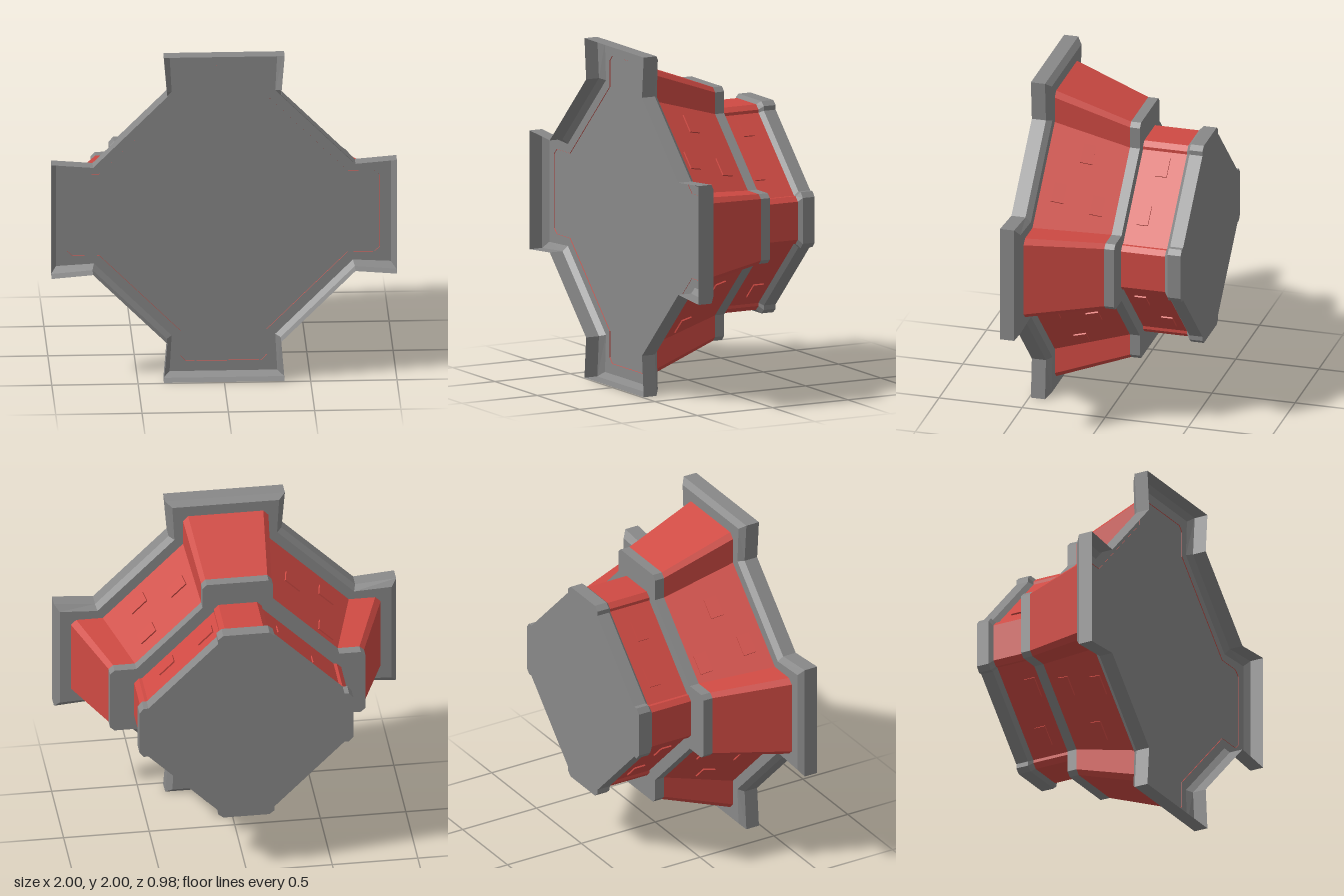
import * as THREE from 'three';

// Cross-shaped outline, anticlockwise: one arm as half of its points, mirrored and turned four times
function cross(half) {
  const arm = [...half.map(([r, w]) => [r, -w]), ...[...half].reverse()];
  const pts = [];
  for (let k = 0; k < 4; k++) {
    const c = [1, 0, -1, 0][k], s = [0, 1, 0, -1][k];
    for (const [x, y] of arm) pts.push(new THREE.Vector2(c * x - s * y, s * x + c * y));
  }
  return pts;
}
const scaled = (pts, f) => pts.map((p) => p.clone().multiplyScalar(f));

// Flat-faced walls through a series of [outline, z] sections, front to back
function walls(sections) {
  const pos = [];
  for (let s = 0; s + 1 < sections.length; s++) {
    const [front, zf] = sections[s], [back, zb] = sections[s + 1];
    for (let i = 0; i < front.length; i++) {
      const j = (i + 1) % front.length;
      const fi = [front[i].x, front[i].y, zf], fj = [front[j].x, front[j].y, zf];
      const bi = [back[i].x, back[i].y, zb], bj = [back[j].x, back[j].y, zb];
      pos.push(...bi, ...bj, ...fj, ...bi, ...fj, ...fi);
    }
  }
  const geo = new THREE.BufferGeometry();
  geo.setAttribute('position', new THREE.Float32BufferAttribute(pos, 3));
  geo.computeVertexNormals();
  return geo;
}

export function createModel() {
  const model = new THREE.Group();
  model.name = 'crossShapedHull';
  const grey = new THREE.MeshStandardMaterial({ color: 0x888888, side: THREE.DoubleSide });
  grey.name = 'grey metal';
  const red = new THREE.MeshStandardMaterial({ color: 0xcf4a43, side: THREE.DoubleSide });
  red.name = 'red paint';

  const body = new THREE.Group();
  body.name = 'hull';
  body.position.y = 1;
  model.add(body);
  const add = (name, geo, mat) => {
    const mesh = new THREE.Mesh(geo, mat);
    mesh.name = name;
    body.add(mesh);
    return mesh;
  };
  const plate = (name, pts, z) => {
    add(name, new THREE.ShapeGeometry(new THREE.Shape(pts)), grey).position.z = z;
  };

  // Outlines
  const rimOuter = cross([[0.76, 0.33], [1, 0.35]]);
  const rimInner = cross([[0.75, 0.3], [0.97, 0.312]]);
  const skirt = cross([[0.72, 0.25], [0.875, 0.25], [0.907, 0.22]]);
  const collar = scaled(skirt, 0.823);
  const neck = cross([[0.56, 0.14], [0.578, 0.14], [0.605, 0.112]]);
  const cap = cross([[0.573, 0.165], [0.6, 0.165], [0.625, 0.135]]);

  // Open front rim with its recessed floor
  add('frontRim', walls([[rimOuter, 0.49], [rimOuter, 0.405], [rimInner, 0.375]]), grey);
  plate('rimFloor', rimInner, 0.375);

  // Tapered lower hull, collar, straight upper hull and end cap
  add('lowerHull', walls([[skirt, 0.379], [collar, -0.065]]), red);
  add('collar', walls([[collar, -0.065], [collar, -0.125]]), grey);
  plate('collarBack', collar, -0.125);
  add('upperHull', walls([[neck, -0.125], [neck, -0.395]]), red);
  add('endCap', walls([[neck, -0.39], [cap, -0.412], [cap, -0.49]]), grey);
  plate('endCapBack', cap, -0.49);

  // Raised panels on the four diagonal faces: [offset along the face, z]
  const panels = [
    { angle: 45, lower: [[0.18, 0.155], [-0.09, 0.27], [-0.12, 0.045]], upper: [[0.2, -0.265], [-0.11, -0.215]] },
    { angle: 135, lower: [[0.17, 0], [-0.12, 0.175], [0.15, 0.27]], upper: [[0.14, -0.3], [-0.14, -0.26]] },
    { angle: 225, lower: [[0.18, 0.15], [-0.1, 0.27], [-0.12, 0.04]], upper: [[0.17, -0.27], [-0.13, -0.22]] },
    { angle: -45, lower: [[0.18, 0.29], [0.07, 0.075], [-0.22, 0.2]], upper: [[0.14, -0.21], [-0.155, -0.31]] },
  ];
  const lowerGeo = new THREE.BoxGeometry(0.018, 0.12, 0.075);
  const upperGeo = new THREE.BoxGeometry(0.018, 0.12, 0.068);
  for (const { angle, lower, upper } of panels) {
    const face = new THREE.Group();
    face.name = 'facePanels';
    face.rotation.z = THREE.MathUtils.degToRad(angle);
    body.add(face);
    const panel = (name, geo, r, t, z, tilt) => {
      const mesh = new THREE.Mesh(geo, red);
      mesh.name = name;
      mesh.position.set(r, t, z);
      mesh.rotation.y = tilt;
      face.add(mesh);
    };
    for (const [t, z] of lower) panel('lowerPanel', lowerGeo, 0.686 + (z - 0.379) * 0.274, t, z, 0.268);
    for (const [t, z] of upper) panel('upperPanel', upperGeo, 0.495, t, z, 0);
  }
  return model;
}
